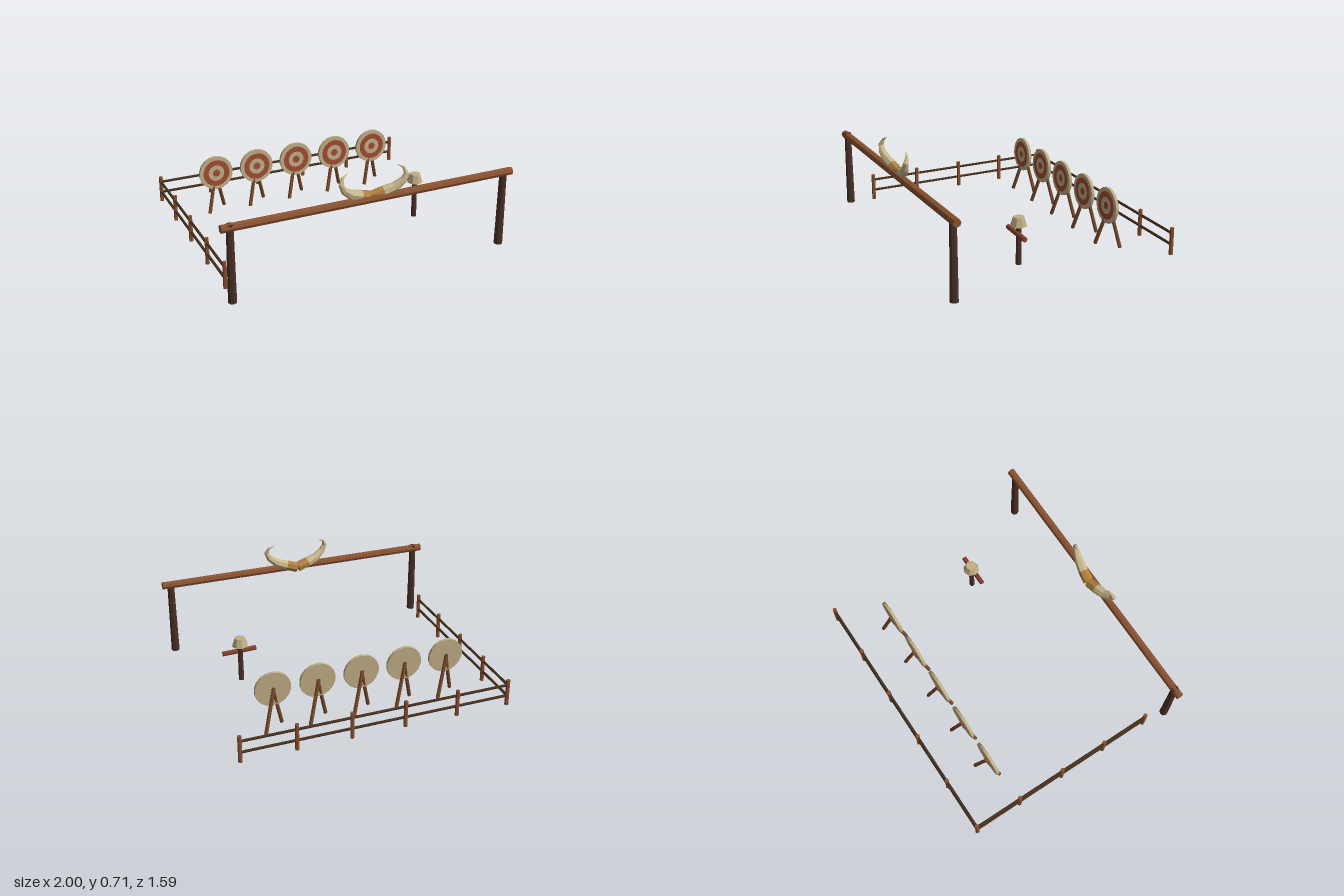
import * as THREE from 'three';

const mat = (name, color, extra = {}) => {
  const m = new THREE.MeshStandardMaterial({ color, flatShading: true, ...extra });
  m.name = name;
  return m;
};
const V = (x, y, z) => new THREE.Vector3(x, y, z);

export function createModel() {
  const model = new THREE.Group();
  model.name = 'archeryRange';

  const darkWood = mat('darkWood', 0x4a3026);
  const railWood = mat('railWood', 0x46301f);
  const wood = mat('wood', 0x8a5230);
  const legWood = mat('legWood', 0x7a4a2a);
  const straw = mat('straw', 0xc0ae85);
  const red = mat('targetRed', 0xa04a34);
  const barRed = mat('redWood', 0x83402e);
  const horn = mat('horn', 0xc8b88c);
  const hornBase = mat('hornBase', 0xb08040);

  // A straight log between two points
  function log(name, a, b, r0, r1, material, sides = 8, parent = model) {
    const dir = b.clone().sub(a);
    const mesh = new THREE.Mesh(new THREE.CylinderGeometry(r1, r0, dir.length(), sides), material);
    mesh.name = name;
    mesh.position.copy(a).add(b).multiplyScalar(0.5);
    mesh.quaternion.setFromUnitVectors(V(0, 1, 0), dir.normalize());
    parent.add(mesh);
    return mesh;
  }

  // Fence along the back and one side
  const fence = new THREE.Group();
  fence.name = 'fence';
  model.add(fence);
  const corner = V(-0.925, 0, -0.785);
  const post = (x, z) => log('fencePost', V(x, 0, z), V(x, 0.187, z), 0.014, 0.014, wood, 8, fence);
  for (let i = 0; i <= 5; i++) post(corner.x + i * 0.369, corner.z);
  for (let i = 1; i <= 4; i++) post(corner.x, corner.z + i * 0.344);
  for (const y of [0.07, 0.149]) {
    log('backRail', V(-0.925, y, -0.785), V(0.92, y, -0.785), 0.009, 0.009, railWood, 6, fence);
    log('sideRail', V(-0.925, y, -0.785), V(-0.925, y, 0.591), 0.009, 0.009, railWood, 6, fence);
  }

  // Gate: two posts and a long beam
  for (const s of [-1, 1]) {
    log('gatePost', V(s * 0.941, 0, 0.766), V(s * 0.941, 0.528, 0.766), 0.029, 0.024, darkWood);
  }
  log('gateBeam', V(-1, 0.505, 0.766), V(1, 0.518, 0.766), 0.027, 0.027, wood);

  // Tapered tube skinned over rings of [x, y, z, radius]
  function hornPart(name, rings, material, side) {
    const sides = 7, pos = [], idx = [];
    const pts = rings.map(r => V(r[0] * side, r[1], r[2]));
    rings.forEach((r, i) => {
      const t = r[4].clone();
      t.x *= side;
      const n = V(0, 0, 1).cross(t).normalize();
      const b = t.clone().cross(n).normalize();
      for (let k = 0; k < sides; k++) {
        const a = (k / sides) * Math.PI * 2;
        const p = pts[i].clone().addScaledVector(n, Math.cos(a) * r[3]).addScaledVector(b, Math.sin(a) * r[3]);
        pos.push(p.x, p.y, p.z);
        if (i < rings.length - 1) {
          const k2 = (k + 1) % sides, p0 = i * sides + k, p1 = i * sides + k2;
          idx.push(p0, p1, p0 + sides, p1, p1 + sides, p0 + sides);
        }
      }
    });
    // Closing cap at the root
    for (let k = 1; k < sides - 1; k++) idx.push(0, k + 1, k);
    const g = new THREE.BufferGeometry();
    g.setAttribute('position', new THREE.Float32BufferAttribute(pos, 3));
    g.setIndex(idx);
    g.computeVertexNormals();
    const mesh = new THREE.Mesh(g, material);
    mesh.name = name;
    model.add(mesh);
  }

  // Pair of horns mounted on the beam
  const spine = [
    [0.005, 0.514, 0.738, 0.037], [0.08, 0.538, 0.746, 0.036], [0.15, 0.562, 0.758, 0.031],
    [0.203, 0.602, 0.77, 0.024], [0.224, 0.645, 0.77, 0.017], [0.208, 0.684, 0.757, 0.009],
    [0.17, 0.705, 0.747, 0.001],
  ];
  spine.forEach((r, i) => {
    const a = spine[Math.max(i - 1, 0)], b = spine[Math.min(i + 1, spine.length - 1)];
    r.push(V(b[0] - a[0], b[1] - a[1], b[2] - a[2]).normalize());
  });
  for (const s of [-1, 1]) {
    hornPart('hornRoot', spine.slice(0, 2), hornBase, s);
    hornPart('hornTip', spine.slice(1), horn, s);
  }

  // Five round targets, each on two crossed legs
  for (let i = -2; i <= 2; i++) {
    const target = new THREE.Group();
    target.name = 'target';
    target.position.set(i * 0.303, 0, -0.485);
    model.add(target);

    const face = new THREE.Group();
    face.name = 'targetFace';
    face.position.y = 0.286;
    face.rotation.x = -0.04;
    target.add(face);
    log('strawDisc', V(0, 0, -0.01), V(0, 0, 0.01), 0.122, 0.122, straw, 18, face);
    const rings = [['outerRing', 0.058, 0.096], ['bullseye', 0, 0.026]];
    for (const [name, inner, outer] of rings) {
      const geo = inner ? new THREE.RingGeometry(inner, outer, 18) : new THREE.CircleGeometry(outer, 18);
      const ring = new THREE.Mesh(geo, red);
      ring.name = name;
      ring.position.z = 0.012;
      face.add(ring);
    }

    log('frontLeg', V(-0.07, 0, 0.043), V(0.004, 0.29, -0.018), 0.013, 0.012, legWood, 7, target);
    log('backLeg', V(0.072, 0, -0.063), V(-0.004, 0.298, -0.014), 0.013, 0.012, legWood, 7, target);
  }

  // Training dummy: post, crossbar and bucket head
  const dummy = new THREE.Group();
  dummy.name = 'trainingDummy';
  dummy.position.set(0.62, 0, 0.176);
  model.add(dummy);
  log('dummyPost', V(0, 0, 0), V(0, 0.29, 0), 0.019, 0.017, darkWood, 8, dummy);
  log('dummyArms', V(-0.116, 0.219, 0.016), V(0.119, 0.213, 0.016), 0.017, 0.017, barRed, 8, dummy);
  log('dummyHead', V(0, 0.266, 0), V(0, 0.325, 0), 0.056, 0.037, straw, 8, dummy);

  return model;
}
